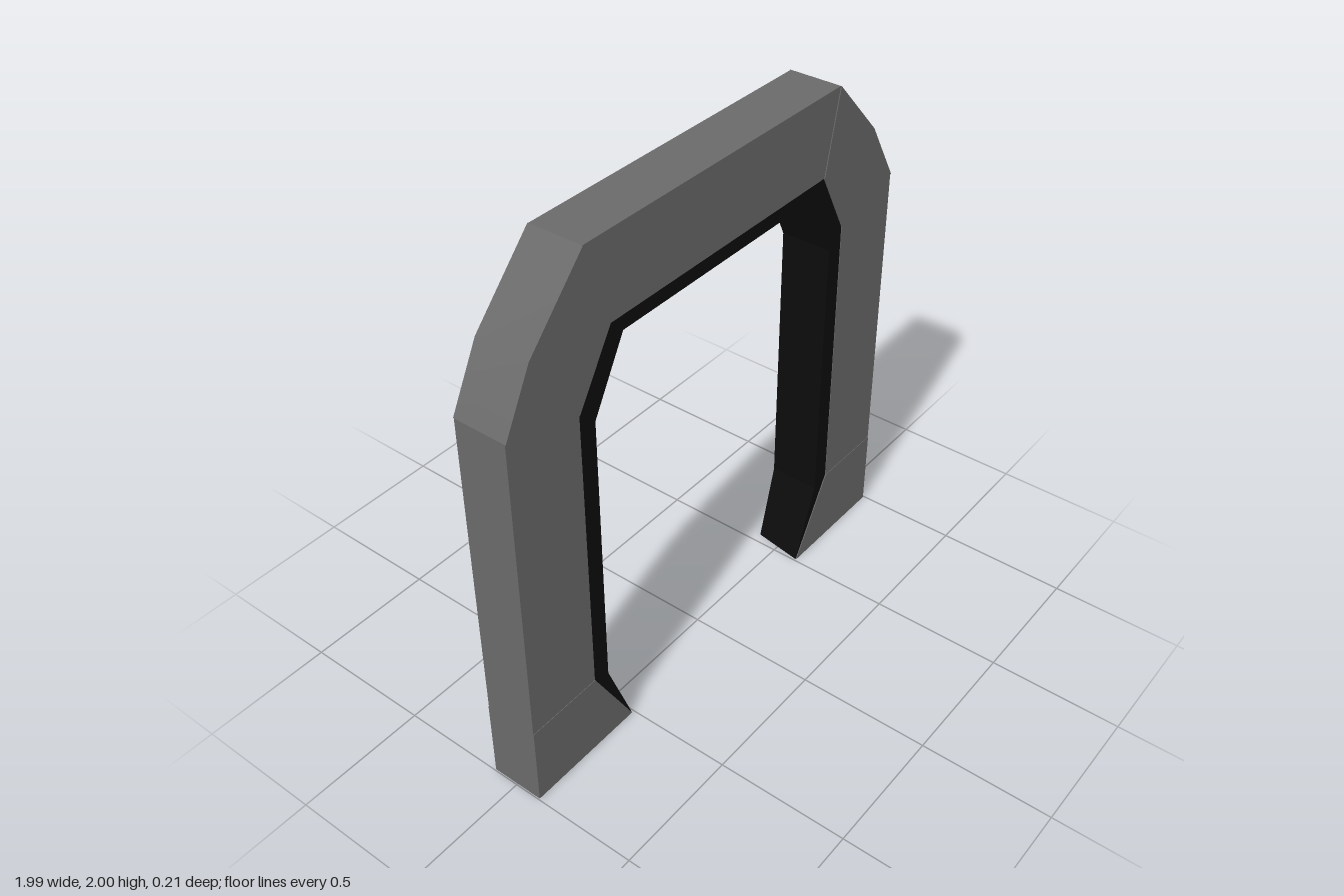
import * as THREE from 'three';
import { toCreasedNormals } from 'three/addons/utils/BufferGeometryUtils.js';

const frameMat = new THREE.MeshStandardMaterial({ color: 0x6a6a6a });
const linerMat = new THREE.MeshStandardMaterial({ color: 0x0c0c0c });

// Solid between a convex front outline and a matching back outline
function prism(name, mat, depth, front, back = front) {
  const flip = THREE.ShapeUtils.isClockWise(front.map(([x, y]) => new THREE.Vector2(x, y)));
  const order = (pts) => (flip ? [...pts].reverse() : pts);
  const f = order(front).map(([x, y]) => [x, y, depth]);
  const b = order(back).map(([x, y]) => [x, y, -depth]);
  const pos = [];
  const tri = (...corners) => corners.forEach((c) => pos.push(...c));
  const n = f.length;
  for (let i = 0; i < n; i++) {
    const j = (i + 1) % n;
    tri(f[i], b[i], b[j]);
    tri(f[i], b[j], f[j]);
    if (i > 0 && i < n - 1) {
      tri(f[0], f[i], f[j]);
      tri(b[0], b[j], b[i]);
    }
  }
  const geo = new THREE.BufferGeometry();
  geo.setAttribute('position', new THREE.Float32BufferAttribute(pos, 3));
  const mesh = new THREE.Mesh(toCreasedNormals(geo, 0.55), mat);
  mesh.name = name;
  return mesh;
}

export function createModel() {
  const group = new THREE.Group();
  group.name = 'archFrame';

  // Key points of each side: shoulder, knuckle, inner corner, liner corner
  const sides = [
    { n: 'left', s: 1, out: 0.995, top: 0.63, mid: [0.855, 1.76], inner: 0.56, lin: 0.5 },
    { n: 'right', s: -1, out: 0.995, top: 0.64, mid: [0.88, 1.745], inner: 0.54, lin: 0.48 },
  ];

  for (const { n, s, out, top, mid, inner, lin } of sides) {
    const add = (name, mat, depth, front, back) => {
      const side = (pts) => pts && pts.map(([x, y]) => [s * x, y]);
      group.add(prism(n + name, mat, depth, side(front), side(back)));
    };

    // Upright and slightly thicker corner block
    add('Post', frameMat, 0.1, [[out, 0.32], [out, 1.525], [0.69, 1.445], [0.69, 0.32]]);
    add('Corner', frameMat, 0.103,
      [[out, 1.525], mid, [top, 2], [inner, 1.69], [0.69, 1.445]]);

    // Foot, flared inward more at the front than at the back
    add('Foot', frameMat, 0.102,
      [[out, 0], [out, 0.32], [0.69, 0.32], [0.51, 0]],
      [[out, 0], [out, 0.32], [0.69, 0.32], [0.61, 0]]);

    // Dark liner along the inside
    add('PostLiner', linerMat, 0.098, [[0.69, 0.32], [0.69, 1.445], [0.62, 1.38], [0.62, 0.295]]);
    add('CornerLiner', linerMat, 0.098,
      [[0.69, 1.445], [inner, 1.69], [lin, 1.635], [0.62, 1.38]]);
    add('FootLiner', linerMat, 0.098,
      [[0.69, 0.32], [0.62, 0.295], [0.508, 0], [0.512, 0]],
      [[0.69, 0.32], [0.62, 0.295], [0.54, 0], [0.61, 0]]);
  }

  // Lintel and its liner
  const [l, r] = sides;
  group.add(prism('lintel', frameMat, 0.1,
    [[-r.top, 2], [-r.inner, 1.69], [l.inner, 1.69], [l.top, 2]]));
  group.add(prism('lintelLiner', linerMat, 0.098,
    [[-r.inner, 1.69], [-r.lin, 1.635], [l.lin, 1.635], [l.inner, 1.69]]));

  return group;
}
